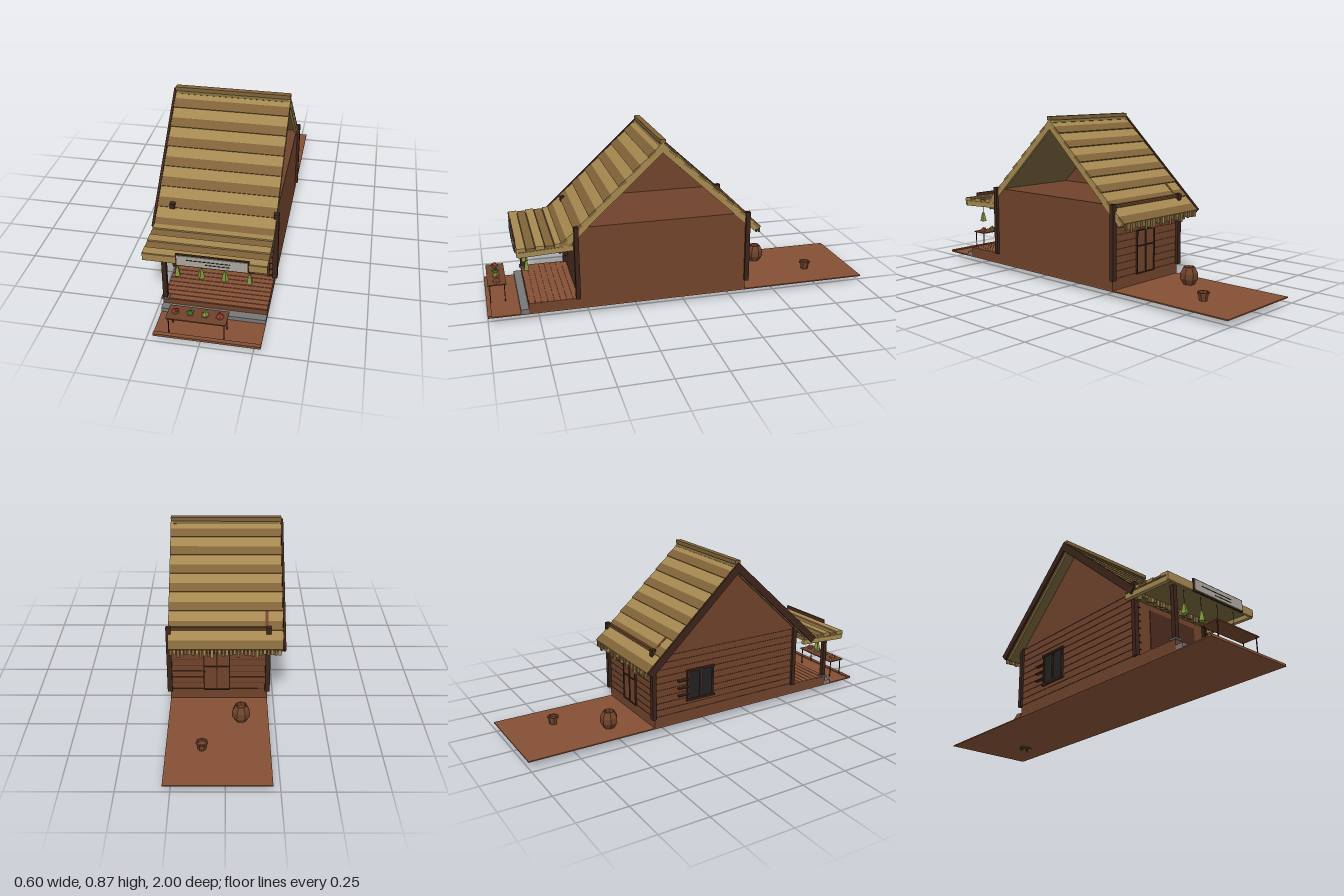
import * as THREE from 'three';

const C = {
  wall: 0x70432b, dark: 0x4a2a1e, trim: 0x3c241a, ground: 0x834f34, light: 0xa58850, shade: 0x7f6238,
  under: 0x75643a, stone: 0x777777, sign: 0xaaa59c, black: 0x222222, red: 0xa83c30, green: 0x3c7a34,
  lime: 0x80963a, tan: 0xa5835a, leaf: 0x35552c,
};
const cache = {};
const mat = (key) => (cache[key] ??= new THREE.MeshStandardMaterial({ color: C[key], flatShading: true, side: THREE.DoubleSide }));

function add(parent, name, geo, key, x = 0, y = 0, z = 0) {
  const m = new THREE.Mesh(geo, mat(key));
  m.name = name;
  m.position.set(x, y, z);
  parent.add(m);
  return m;
}
// box given by its limits on each axis
function box(parent, name, key, x0, x1, y0, y1, z0, z1) {
  return add(parent, name, new THREE.BoxGeometry(x1 - x0, y1 - y0, z1 - z0), key,
    (x0 + x1) / 2, (y0 + y1) / 2, (z0 + z1) / 2);
}
function group(parent, name) {
  const g = new THREE.Group();
  g.name = name;
  parent.add(g);
  return g;
}

export function createModel() {
  const root = new THREE.Group();
  root.name = 'shopHouse';
  let seed = 7;
  const rnd = () => (seed = (seed * 16807) % 2147483647) / 2147483647;
  const XL = -0.215, XR = 0.285, ZF = 0.55, ZB = -0.325;

  // ground, porch and step
  box(root, 'ground', 'ground', XL, XR, 0.038, 0.044, -1, 1);
  box(root, 'groundEdge', 'ground', XL, XR, 0.04, 0.05, 0.98, 1);
  box(root, 'porch', 'wall', XL, XR, 0.044, 0.092, ZF, 0.8);
  for (let i = 0; i < 8; i++) {
    const z = ZF + 0.002 + i * 0.031;
    box(root, 'porchPlank', 'ground', XL, XR, 0.092, 0.095, z, z + 0.028);
  }
  box(root, 'step', 'stone', XL, XR, 0.044, 0.065, 0.8, 0.84);

  // body and left gable
  box(root, 'body', 'wall', XL, XR, 0.044, 0.468, ZB, ZF);
  const tri = new THREE.Shape([new THREE.Vector2(ZB, 0.46), new THREE.Vector2(ZF, 0.46), new THREE.Vector2(0.118, 0.835)]);
  add(root, 'gable', new THREE.ExtrudeGeometry(tri, { depth: 0.015, bevelEnabled: false }), 'wall', -0.2).rotation.y = -Math.PI / 2;

  // siding joints on the front, back and left
  for (let y = 0.1; y < 0.45; y += 0.036) {
    box(root, 'backJoint', 'dark', XL, XR, y, y + 0.003, ZB - 0.002, ZB);
    box(root, 'leftJoint', 'dark', XL - 0.002, XL, y, y + 0.003, ZB, ZF);
    box(root, 'frontJointRight', 'dark', 0.26, 0.28, y, y + 0.003, ZF, ZF + 0.006);
    box(root, 'frontJointLeft', 'dark', -0.19, -0.18, y, y + 0.003, ZF, ZF + 0.006);
  }
  // corner posts
  for (const x of [XL, XR + 0.002]) for (const z of [0.555, -0.33])
    box(root, 'cornerPost', 'trim', x - 0.0125, x + 0.0125, 0.095, 0.473, z - 0.0115, z + 0.0115);

  // shop opening in the front wall
  box(root, 'shopOpening', 'dark', -0.115, 0.19, 0.095, 0.36, ZF, ZF + 0.003);
  box(root, 'openingPost', 'dark', 0.25, 0.26, 0.095, 0.4, ZF, ZF + 0.008);

  // back door
  const door = group(root, 'backDoor');
  box(door, 'doorPanel', 'wall', -0.02, 0.11, 0.1, 0.32, ZB - 0.004, ZB);
  for (const x of [-0.02, 0.045, 0.11]) box(door, 'doorStile', 'trim', x - 0.003, x + 0.003, 0.1, 0.32, ZB - 0.009, ZB);
  for (const y of [0.1, 0.24, 0.32]) box(door, 'doorRail', 'trim', -0.023, 0.113, y - 0.003, y + 0.003, ZB - 0.009, ZB);

  // left window
  const win = group(root, 'leftWindow');
  box(win, 'windowPane', 'black', XL - 0.005, XL, 0.16, 0.32, -0.13, 0.02);
  for (const z of [-0.13, -0.055, 0.02]) box(win, 'windowBar', 'trim', XL - 0.01, XL, 0.16, 0.32, z - 0.005, z + 0.005);
  for (const y of [0.16, 0.32]) box(win, 'windowRail', 'trim', XL - 0.014, XL, y - 0.005, y + 0.005, -0.14, 0.03);
  for (const y of [0.195, 0.235, 0.275]) box(win, 'windowSlat', 'trim', XL - 0.018, XL, y - 0.003, y + 0.003, -0.19, -0.13);

  // two roof slopes made of overlapping rows, running down from the ridge
  const ROWS = 7, LEN = 0.71, ROW = LEN / ROWS;
  for (const side of ['front', 'back']) {
    const turn = group(root, side + 'Roof');
    turn.position.set(0, 0.868, 0.118);
    if (side === 'back') turn.rotation.y = Math.PI;
    const s = group(turn, side + 'Slope');
    s.rotation.x = 0.745;
    box(s, 'roofDeck', 'under', -0.286, 0.286, -0.028, -0.012, 0, LEN);
    for (let i = 0; i < ROWS; i++) {
      const row = group(s, 'roofRow');
      row.position.set(0, -0.006, i * ROW);
      row.rotation.x = -0.06;
      box(row, 'upperBoard', 'light', -0.288, 0.287, -0.014, 0, 0, ROW * 0.53);
      box(row, 'lowerBoard', 'shade', -0.288, 0.287, -0.014, 0, ROW * 0.53, ROW);
    }
    // edge rafters and the left barge board
    for (const x of [-0.28, 0.28]) box(s, 'edgeRafter', 'light', x - 0.007, x + 0.007, -0.04, -0.012, 0, LEN - 0.01);
    const bx = side === 'front' ? -0.294 : 0.294;
    box(s, 'bargeBoard', 'trim', bx - 0.006, bx + 0.006, -0.036, 0.002, 0, LEN);
    // ragged fringe along the eave
    for (let i = 0; i < 30; i++) {
      const x = -0.28 + i * 0.0187, d = 0.022 + rnd() * 0.028;
      box(turn, 'eaveFringe', i % 2 ? 'light' : 'shade', x, x + 0.014, -0.483 - d, -0.483, 0.512, 0.52);
    }
  }
  box(root, 'ridgeCap', 'shade', -0.29, 0.287, 0.86, 0.88, 0.103, 0.133);

  // awning over the porch
  const awning = group(root, 'awning');
  awning.position.set(0, 0.388, 0.57);
  awning.rotation.x = 0.05;
  box(awning, 'awningDeck', 'under', -0.285, 0.283, -0.014, -0.004, 0, 0.27);
  for (let i = 0; i < 6; i++) {
    const z = i * 0.046, lift = i % 2 ? 0.005 : 0;
    box(awning, 'awningPlank', i % 2 ? 'light' : 'shade', -0.29, 0.287, -0.004, 0.006 + lift, z, z + 0.043);
  }
  for (const x of [-0.28, 0.276]) box(awning, 'awningBeam', 'light', x - 0.01, x + 0.01, -0.036, -0.01, 0, 0.27);
  box(awning, 'awningFascia', 'light', -0.29, 0.287, -0.03, 0.008, 0.264, 0.276);
  for (let i = 0; i < 12; i++) {
    const x = -0.265 + i * 0.046 + rnd() * 0.02;
    box(awning, 'awningFringe', 'shade', x, x + 0.018, -0.032 - rnd() * 0.02, -0.012, 0.05, 0.06);
  }
  // front post on a stone base
  box(root, 'porchPostBase', 'stone', -0.222, -0.185, 0.092, 0.1, 0.772, 0.808);
  box(root, 'porchPost', 'trim', -0.214, -0.192, 0.1, 0.37, 0.78, 0.802);

  // blank sign board with two dark strips
  const sign = group(root, 'signBoard');
  box(sign, 'signFrame', 'dark', -0.132, 0.205, 0.34, 0.404, 0.842, 0.85);
  box(sign, 'signPanel', 'sign', -0.126, 0.199, 0.346, 0.398, 0.85, 0.853);
  box(sign, 'signStrip', 'black', -0.08, 0.12, 0.376, 0.379, 0.853, 0.855);
  box(sign, 'signStrip', 'black', 0.005, 0.12, 0.36, 0.363, 0.853, 0.855);

  // bundles hanging below the awning
  for (const x of [-0.14, -0.027, 0.085, 0.2]) {
    const g = group(root, 'hangingBundle');
    g.position.set(x, 0, 0.795);
    g.rotation.y = x * 4;
    add(g, 'bundle', new THREE.CylinderGeometry(0.007, 0.018, 0.05, 4), 'lime', 0, 0.265, 0);
    box(g, 'string', 'black', -0.001, 0.001, 0.285, 0.37, -0.001, 0.001);
  }

  // table with heaps of produce
  const table = group(root, 'table');
  box(table, 'tableTop', 'wall', -0.153, 0.124, 0.137, 0.143, 0.895, 0.988);
  for (const x of [-0.143, 0.115]) for (const z of [0.905, 0.978])
    box(table, 'tableLeg', 'trim', x - 0.002, x + 0.002, 0.044, 0.138, z - 0.002, z + 0.002);
  ['red', 'green', 'lime', 'red'].forEach((key, i) => {
    const g = group(table, 'produceHeap');
    g.position.set(-0.117 + i * 0.069, 0.143, 0.942);
    g.rotation.y = i * 0.9;
    add(g, 'basket', new THREE.CylinderGeometry(0.021, 0.016, 0.01, 5), 'tan', 0, 0.005, 0);
    add(g, 'produce', new THREE.ConeGeometry(0.018, 0.016, 5), key, 0, 0.018, 0);
    add(g, 'produceTop', new THREE.TetrahedronGeometry(0.01), key, 0.009, 0.018, 0.007);
  });

  // barrel behind the house
  const barrel = [[0, 0], [0.028, 0], [0.046, 0.03], [0.046, 0.058], [0.03, 0.09], [0.024, 0.09], [0.022, 0.075], [0, 0.075]];
  add(root, 'barrel', new THREE.LatheGeometry(barrel.map((p) => new THREE.Vector2(...p)), 7), 'wall', -0.077, 0.044, -0.515);

  // bucket with drooping leaves
  const plant = group(root, 'plantBucket');
  plant.position.set(0.112, 0.044, -0.743);
  const pot = [[0, 0], [0.02, 0], [0.026, 0.034], [0.031, 0.034], [0.031, 0.041], [0.023, 0.041], [0.022, 0.03], [0, 0.03]];
  add(plant, 'bucket', new THREE.LatheGeometry(pot.map((p) => new THREE.Vector2(...p)), 7), 'wall');
  for (let i = 0; i < 9; i++) {
    const turn = group(plant, 'leafTurn');
    turn.rotation.y = i * 0.7;
    const tilt = i % 3 === 0 ? 2.75 : i % 3 === 1 ? 2.45 : 2.2;
    const leaf = add(turn, 'leaf', new THREE.ConeGeometry(0.007, 0.046, 3).translate(0, 0.023, 0), i % 2 ? 'green' : 'leaf', 0.01, 0.004, 0);
    leaf.rotation.z = -tilt;
  }
  return root;
}
